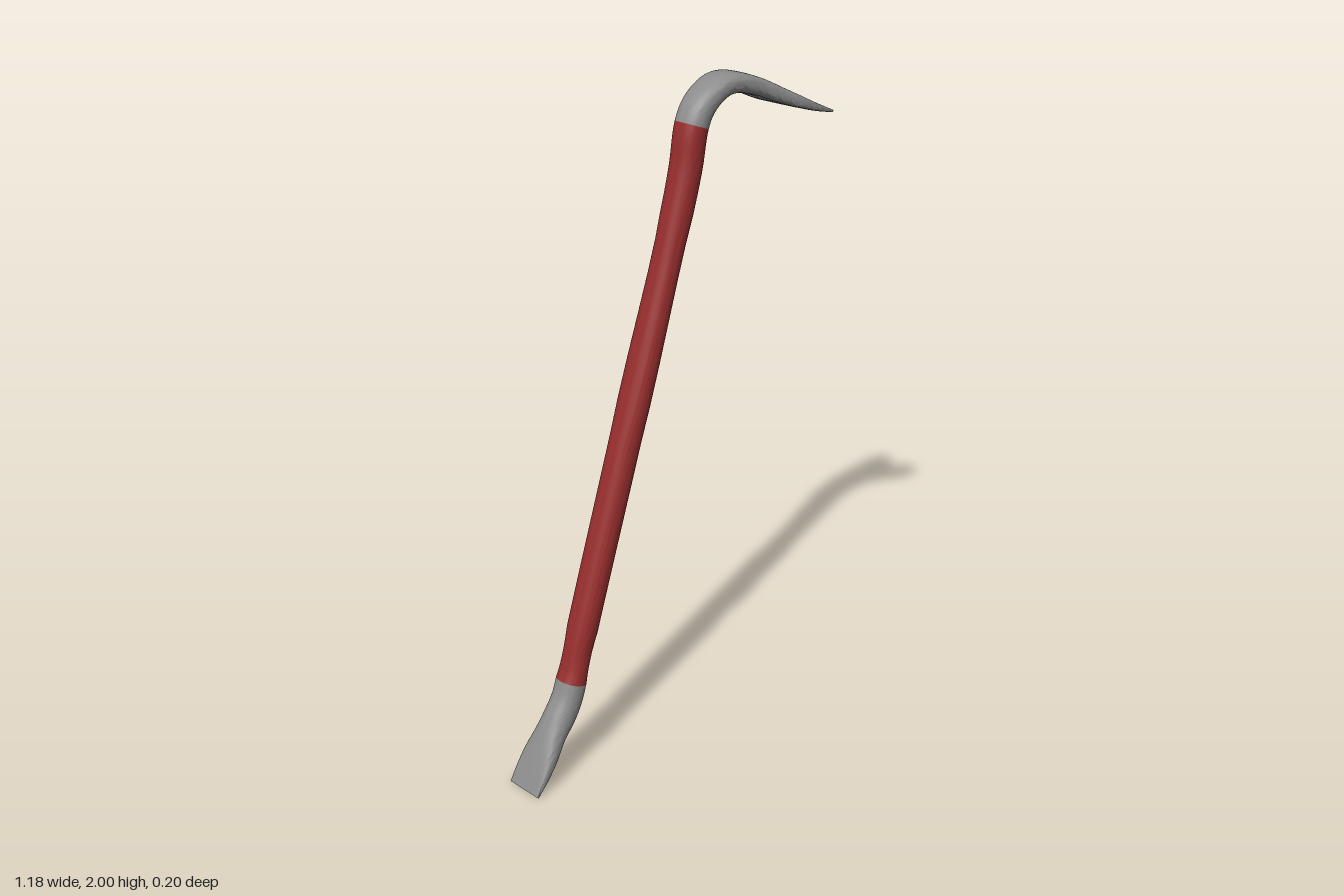
import * as THREE from 'three';
import { toCreasedNormals } from 'three/addons/utils/BufferGeometryUtils.js';

// Stations along the bar: x, y, half thickness, half width, half slot width
const STATIONS = [
  [-0.593, 0.003, 0.003, 0.062, 0],
  [-0.53, 0.087, 0.024, 0.06, 0],
  [-0.485, 0.148, 0.037, 0.05, 0],
  [-0.445, 0.197, 0.045, 0.047, 0],
  [-0.417, 0.243, 0.044, 0.046, 0],
  [-0.399, 0.293, 0.043, 0.046, 0], // 5: grip starts
  [-0.35, 0.45, 0.043, 0.046, 0],
  [-0.168, 1.0, 0.043, 0.047, 0],
  [0.04, 1.63, 0.043, 0.047, 0],
  [0.075, 1.755, 0.044, 0.048, 0],
  [0.098, 1.87, 0.044, 0.05, 0], // 10: grip ends
  [0.126, 1.92, 0.04, 0.052, 0],
  [0.185, 1.961, 0.033, 0.055, 0],
  [0.243, 1.969, 0.03, 0.058, 0],
  [0.33, 1.946, 0.027, 0.067, 0],
  [0.4, 1.915, 0.023, 0.083, 0],
  [0.455, 1.891, 0.019, 0.095, 0], // 16: slot starts
  [0.485, 1.879, 0.016, 0.099, 0.014],
  [0.53, 1.862, 0.012, 0.102, 0.02],
  [0.588, 1.843, 0.005, 0.102, 0.026],
];
const LAST = STATIONS.length - 1;
const SIDES = 40;
const STEPS = 6;

const path = new THREE.CatmullRomCurve3(STATIONS.map(([x, y]) => new THREE.Vector3(x, y, 0)));
const sizes = new THREE.CatmullRomCurve3(STATIONS.map(([, , t, w, s]) => new THREE.Vector3(t, w, s)));

// Rounded cross-section at u; side 1 or -1 keeps only that half, cut at the slot
function section(u, side) {
  const c = path.getPoint(u);
  const d = path.getTangent(u);
  const { x: thick, y: wide, z: slot } = sizes.getPoint(u);
  const power = 2 / THREE.MathUtils.clamp(1 + wide / thick, 2.2, 6);
  const round = (v) => Math.sign(v) * Math.abs(v) ** power;
  const ring = [];
  for (let j = 0; j < SIDES; j++) {
    const a = (j / SIDES) * Math.PI * 2;
    const n = round(Math.cos(a)) * thick;
    let z = round(Math.sin(a)) * wide;
    if (side) z = side * Math.max(side * z, Math.max(slot, 0));
    ring.push(new THREE.Vector3(c.x - d.y * n, c.y + d.x * n, z));
  }
  return ring;
}

// Sweeps the section between two stations and closes both ends
function sweep(from, to, side = 0) {
  const count = (to - from) * STEPS;
  const pos = [];
  const idx = [];
  const center = new THREE.Vector3();
  const add = (p) => pos.push(p.x, p.y, p.z);
  for (let i = 0; i <= count; i++) section((from + i / STEPS) / LAST, side).forEach(add);
  for (let i = 0; i < count; i++) {
    for (let j = 0; j < SIDES; j++) {
      const k = (j + 1) % SIDES;
      const a = i * SIDES + j, b = i * SIDES + k;
      idx.push(a, b, b + SIDES, a, b + SIDES, a + SIDES);
    }
  }
  for (const row of [0, count]) {
    const ring = section((from + row / STEPS) / LAST, side);
    center.set(0, 0, 0);
    ring.forEach((p) => center.addScaledVector(p, 1 / SIDES));
    const mid = pos.length / 3;
    add(center);
    for (let j = 0; j < SIDES; j++) {
      const a = row * SIDES + j, b = row * SIDES + ((j + 1) % SIDES);
      if (row) idx.push(mid, a, b);
      else idx.push(mid, b, a);
    }
  }
  const geo = new THREE.BufferGeometry();
  geo.setAttribute('position', new THREE.Float32BufferAttribute(pos, 3));
  geo.setIndex(idx);
  return toCreasedNormals(geo, 0.8);
}

export function createModel() {
  const steel = new THREE.MeshStandardMaterial({ color: 0x8c8c8c });
  steel.name = 'steel grey';
  const paint = new THREE.MeshStandardMaterial({ color: 0x962d2d });
  paint.name = 'red paint';

  const group = new THREE.Group();
  group.name = 'pryBar';
  const part = (name, geometry, material) => {
    const mesh = new THREE.Mesh(geometry, material);
    mesh.name = name;
    group.add(mesh);
  };

  part('chiselEnd', sweep(0, 5), steel);
  part('shaft', sweep(5, 10), paint);
  part('hook', sweep(10, 16), steel);
  // Two claws split by the nail slot
  part('leftClaw', sweep(16, LAST, 1), steel);
  part('rightClaw', sweep(16, LAST, -1), steel);
  return group;
}
